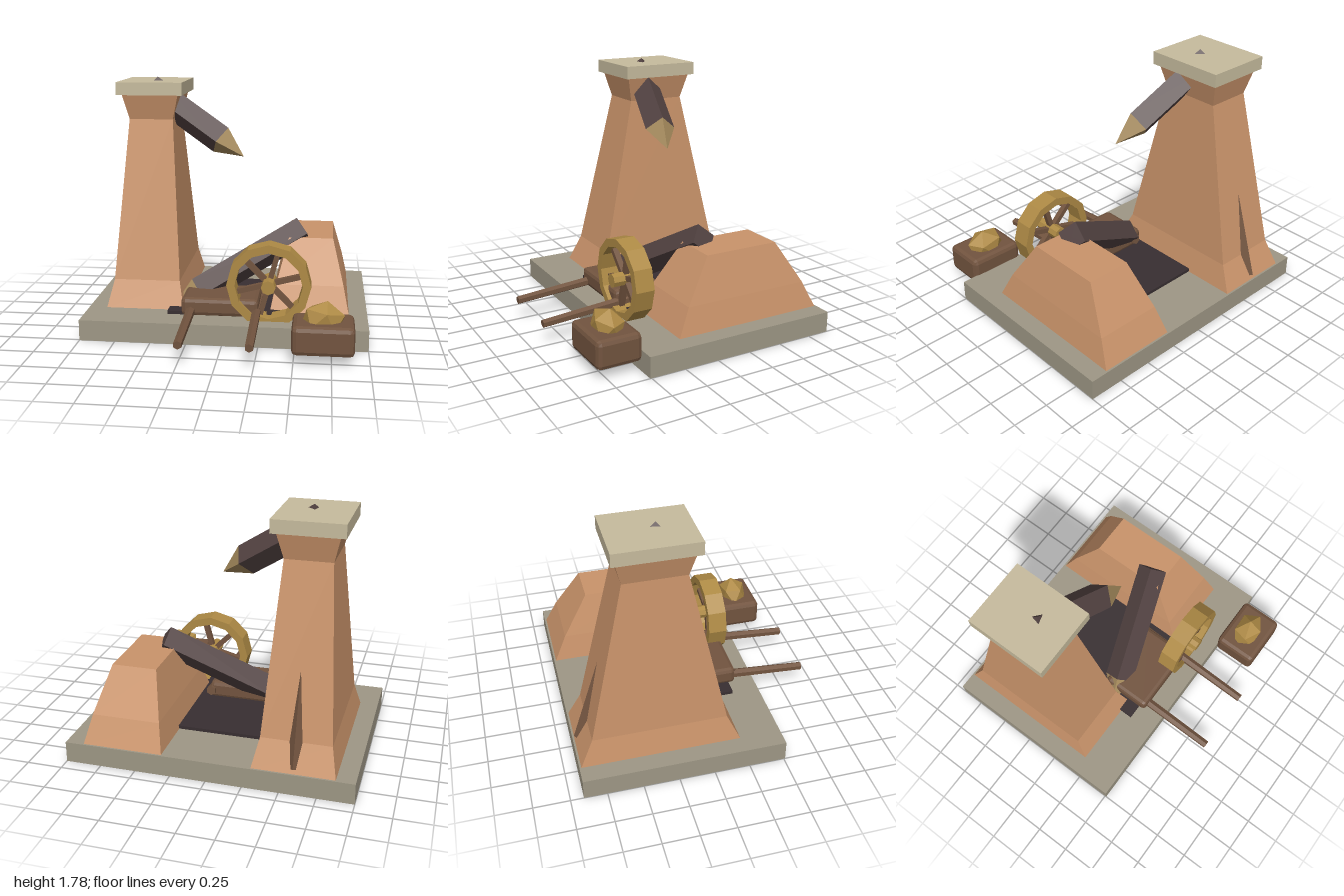
import * as THREE from 'three';
import { RoundedBoxGeometry } from 'three/addons/geometries/RoundedBoxGeometry.js';

export function createModel() {
  const model = new THREE.Group();
  model.name = 'mineRuin';

  const paint = (name, color) => new THREE.MeshStandardMaterial({ name, color, flatShading: true });
  const stone = paint('greyStone', 0x9e9785);
  const cream = paint('creamStone', 0xc6bb9d);
  const clay = paint('orangeClay', 0xc9936a);
  const soot = paint('darkFloor', 0x382e31);
  const timber = paint('darkTimber', 0x524241);
  const cutWood = paint('cutWood', 0xa58a5c);
  const wood = paint('brownWood', 0x72543f);
  const gold = paint('gold', 0xae8a45);

  const add = (name, geometry, material, x = 0, y = 0, z = 0, parent = model) => {
    const mesh = new THREE.Mesh(geometry, material);
    mesh.name = name;
    mesh.position.set(x, y, z);
    parent.add(mesh);
    return mesh;
  };

  // Solid stacked from rectangular rings [half x, half z, y]
  const stack = (rings) => {
    const corners = [[1, 1], [1, -1], [-1, -1], [-1, 1]];
    const pos = [], index = [];
    for (const [hx, hz, y] of rings) for (const [sx, sz] of corners) pos.push(sx * hx, y, sz * hz);
    for (let r = 0; r < rings.length - 1; r++) {
      for (let i = 0; i < 4; i++) {
        const a = r * 4 + i, b = r * 4 + (i + 1) % 4;
        index.push(a, b, b + 4, a, b + 4, a + 4);
      }
    }
    const t = (rings.length - 1) * 4;
    index.push(t, t + 1, t + 2, t, t + 2, t + 3, 0, 2, 1, 0, 3, 2);
    const g = new THREE.BufferGeometry();
    g.setAttribute('position', new THREE.Float32BufferAttribute(pos, 3));
    g.setIndex(index);
    const flat = g.toNonIndexed();
    flat.computeVertexNormals();
    return flat;
  };

  // Square beam from one point to another, one edge turned towards `edge`, optional sharpened end
  const beam = (name, from, to, edge, radius, material, point = 0) => {
    const a = new THREE.Vector3(...from), b = new THREE.Vector3(...to);
    const Y = b.clone().sub(a), length = Y.length();
    Y.normalize();
    const Z = new THREE.Vector3(...edge);
    Z.addScaledVector(Y, -Z.dot(Y)).normalize();
    const X = Y.clone().cross(Z);
    const g = new THREE.Group();
    g.name = name;
    g.position.copy(a);
    g.quaternion.setFromRotationMatrix(new THREE.Matrix4().makeBasis(X, Y, Z));
    add(name + 'Shaft', new THREE.CylinderGeometry(radius, radius, length, 4), material, 0, length / 2, 0, g);
    if (point) add(name + 'Point', new THREE.ConeGeometry(radius, point, 4), cutWood, 0, length + point / 2, 0, g);
    model.add(g);
  };

  // Ground slab and dark floor between the two piers
  add('base', new THREE.BoxGeometry(2, 0.147, 1.42), stone, 0, 0.0735, -0.2);
  add('floor', new THREE.BoxGeometry(0.82, 0.03, 0.83), soot, 0, 0.155, -0.105);

  // Tall pier with cap, and broken pier
  const foot = [[0.282, 0.56, 0.14], [0.24, 0.467, 0.335]];
  add('tallPier', stack([...foot, [0.16, 0.213, 1.48], [0.207, 0.26, 1.67]]), clay, -0.59, 0, -0.34);
  add('pierCap', new THREE.BoxGeometry(0.48, 0.092, 0.572), cream, -0.592, 1.705, -0.34);
  add('brokenPier', stack([...foot, [0.16, 0.277, 0.636]]), clay, 0.59, 0, -0.34);

  // Sharpened beams: one jutting from the pier, one fallen, one brace behind
  beam('juttingBeam', [-0.625, 1.688, -0.304], [-0.085, 1.33, -0.18], [0, 1, 0], 0.108, timber, 0.213);
  beam('fallenBeam', [0.53, 0.667, -0.175], [-0.22, 0.242, 0.06], [0, 1, 0], 0.108, timber, 0.213);
  beam('rearBrace', [-0.59, 0.15, -0.805], [-0.59, 1.01, -0.532], [0, 0, -1], 0.1, wood);

  // Cart body with two shafts
  add('cartBody', new RoundedBoxGeometry(0.545, 0.13, 0.37, 1, 0.03), wood, -0.033, 0.22, 0.178);
  for (const x of [-0.237, 0.225]) {
    const shaft = add('cartShaft', new THREE.CylinderGeometry(0.03, 0.036, 0.943, 6), wood, x, 0.186, 0.438);
    shaft.rotation.x = Math.PI / 2 + 0.075;
  }

  // Wheel
  const wheel = new THREE.Group();
  wheel.name = 'wheel';
  wheel.position.set(0.312, 0.4, 0.323);
  model.add(wheel);
  const ring = (radius) => Array.from({ length: 12 }, (_, i) =>
    new THREE.Vector2(radius * Math.cos(i * Math.PI / 6), radius * Math.sin(i * Math.PI / 6)));
  const rim = new THREE.Shape(ring(0.293));
  rim.holes.push(new THREE.Path(ring(0.235)));
  add('rim', new THREE.ExtrudeGeometry(rim, { depth: 0.138, bevelEnabled: false }), gold, 0, 0, -0.069, wheel);
  const hub = add('hub', new THREE.CylinderGeometry(0.05, 0.05, 0.213, 8), gold, 0, 0, 0, wheel);
  hub.rotation.x = Math.PI / 2;
  for (let i = 0; i < 6; i++) {
    const angle = (15 + 60 * i) * Math.PI / 180;
    const spoke = add('spoke', new THREE.BoxGeometry(0.22, 0.036, 0.04), wood,
      0.14 * Math.cos(angle), 0.14 * Math.sin(angle), 0, wheel);
    spoke.rotation.z = angle;
  }

  // Crate holding a gold nugget
  add('crate', new RoundedBoxGeometry(0.41, 0.2, 0.32, 1, 0.033), wood, 0.692, 0.17, 0.663);
  const nugget = new THREE.IcosahedronGeometry(1, 0);
  nugget.rotateZ(0.35);
  nugget.rotateY(0.4);
  nugget.scale(0.15, 0.125, 0.112);
  add('nugget', nugget, gold, 0.69, 0.275, 0.655);

  return model;
}
